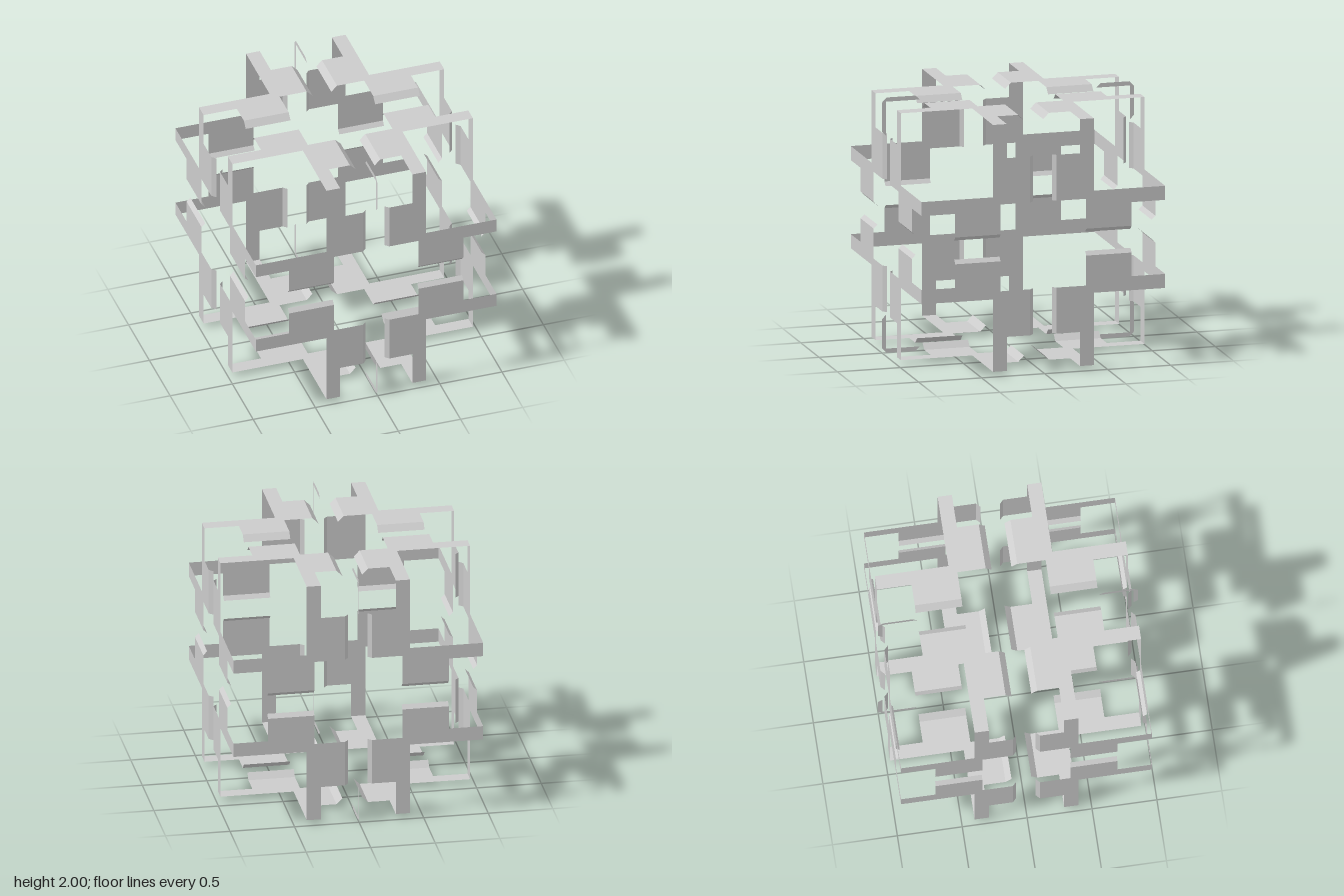
import * as THREE from 'three';

const HALF = 0.967; // half the cube's width
const material = new THREE.MeshStandardMaterial({ color: 0xcccccc, side: THREE.DoubleSide, flatShading: true });

function mesh(geometry, name) {
  const m = new THREE.Mesh(geometry, material);
  m.name = name;
  return m;
}

function sheet(points) {
  return new THREE.ShapeGeometry(new THREE.Shape(points.map(([x, y]) => new THREE.Vector2(x, y))));
}

// One quarter of a face: a stepped sheet with two bent lips along its inner edges
function createQuarter(inner, lip) {
  const quarter = new THREE.Group();
  quarter.name = 'quarterPanel';
  quarter.add(mesh(sheet([
    [inner, 0.34], [0.34, 0.34], [0.34, inner], [0.70, inner], [0.70, 0.29], [HALF, 0.29],
    [HALF, 0.40], [0.40, 0.40], [0.40, HALF], [0.29, HALF], [0.29, 0.70], [inner, 0.70],
  ]).translate(0, 0, HALF), 'panelSheet'));

  const width = lip * Math.SQRT2, mid = inner - lip / 2, depth = HALF - lip / 2;
  quarter.add(mesh(new THREE.PlaneGeometry(width, 0.36)
    .rotateY(-Math.PI / 4).translate(mid, 0.52, depth), 'sideLip'));
  quarter.add(mesh(new THREE.PlaneGeometry(0.36, width)
    .rotateX(Math.PI / 4).translate(0.52, mid, depth), 'endLip'));
  return quarter;
}

// A face repeats its quarter four times around its centre
function createFace(name, inner, lip) {
  const face = new THREE.Group();
  face.name = name;
  for (let i = 0; i < 4; i++) {
    const quarter = createQuarter(inner, lip);
    quarter.rotation.z = i * Math.PI / 2;
    face.add(quarter);
  }
  return face;
}

export function createModel() {
  const model = new THREE.Group();
  model.name = 'openCubeFrame';
  const body = new THREE.Group();
  body.name = 'frame';
  body.position.y = 1;
  model.add(body);

  // Four upright faces
  ['frontFace', 'leftFace', 'backFace', 'rightFace'].forEach((name, i) => {
    const face = createFace(name, 0.105, 0.03);
    face.rotation.y = i * Math.PI / 2;
    body.add(face);
  });

  // Top and bottom faces have wider lips
  [['topFace', -1], ['bottomFace', 1]].forEach(([name, turn]) => {
    const face = createFace(name, 0.122, 0.046);
    face.rotation.x = turn * Math.PI / 2;
    body.add(face);
  });

  // Thin chamfered brackets around the four long edges, on the middle plane
  for (let i = 0; i < 4; i++) {
    const bracket = mesh(sheet([
      [0.70, HALF], [0.735, 1], [0.963, 1], [1, 0.963], [1, 0.735], [HALF, 0.70], [HALF, HALF],
    ]).rotateY(-Math.PI / 2), 'cornerBracket');
    bracket.rotation.x = i * Math.PI / 2;
    body.add(bracket);
  }
  return model;
}
